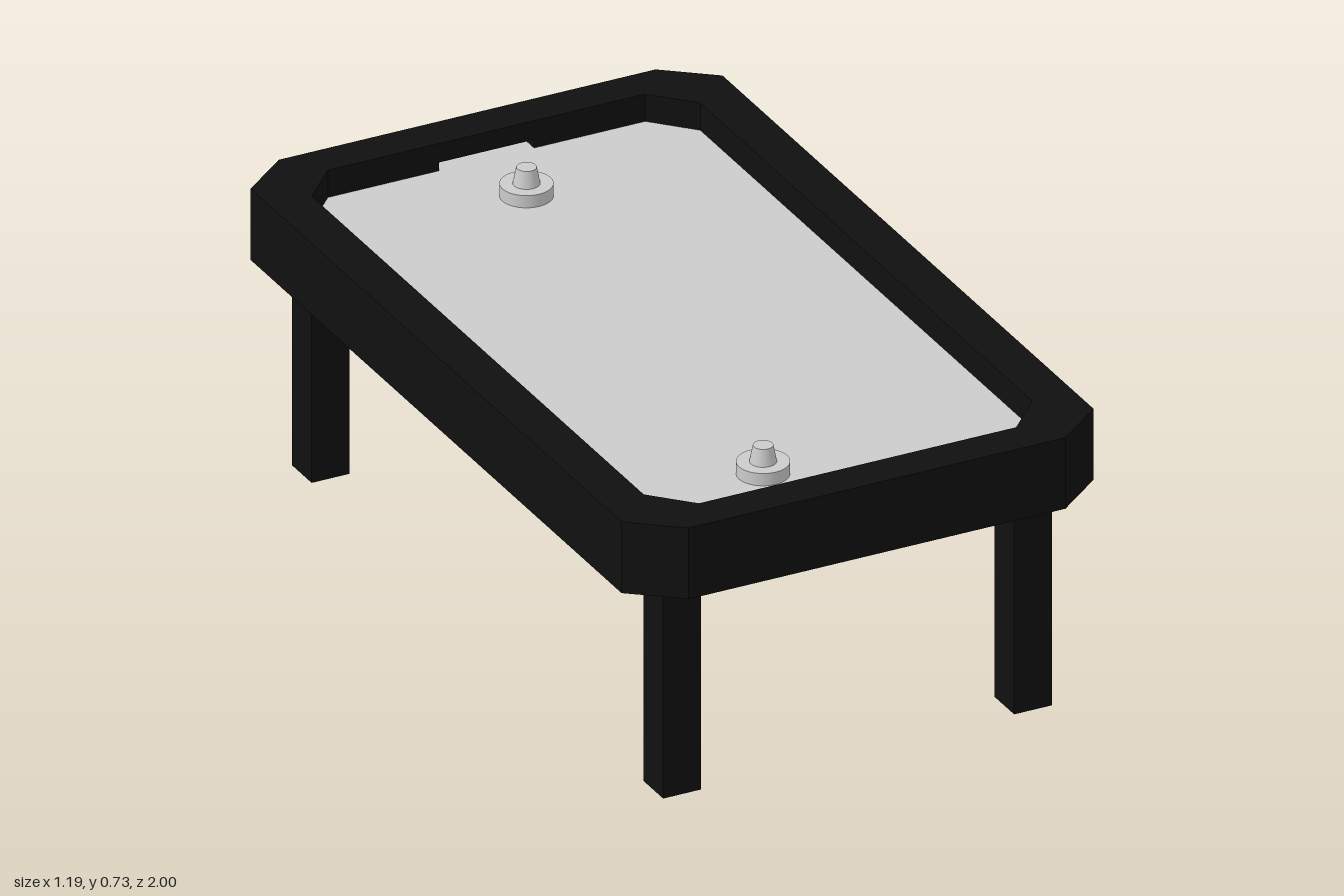
import * as THREE from 'three';

const BOTTOM = 0.545, FLOOR = 0.655, SLOT_TOP = 0.677, TOP = 0.725;

// Chamfered rectangle; optional goal notches in the two short ends
function outline(halfX, halfZ, flatX, flatZ, goalHalf = 0, goalDepth = 0) {
  const end = s => {
    const pts = [[flatX, s * halfZ]];
    if (goalHalf) {
      pts.push([goalHalf, s * halfZ], [goalHalf, s * (halfZ + goalDepth)],
        [-goalHalf, s * (halfZ + goalDepth)], [-goalHalf, s * halfZ]);
    }
    pts.push([-flatX, s * halfZ]);
    return pts;
  };
  const pts = [
    [halfX, -flatZ], [halfX, flatZ], ...end(1),
    [-halfX, flatZ], [-halfX, -flatZ], ...end(-1).reverse(),
  ];
  return pts.map(([x, y]) => new THREE.Vector2(x, y));
}

// Horizontal slab between two heights, with an optional opening
function slab(points, y0, y1, hole) {
  const shape = new THREE.Shape(points);
  if (hole) shape.holes.push(new THREE.Path(hole));
  const geo = new THREE.ExtrudeGeometry(shape, { depth: y1 - y0, bevelEnabled: false });
  return geo.rotateX(-Math.PI / 2).translate(0, y0, 0);
}

export function createModel() {
  const group = new THREE.Group();
  const black = new THREE.MeshStandardMaterial({ color: 0x101010 });
  const grey = new THREE.MeshStandardMaterial({ color: 0xcccccc });
  const add = (name, geo, mat) => {
    const mesh = new THREE.Mesh(geo, mat);
    mesh.name = name;
    group.add(mesh);
    return mesh;
  };

  const outer = outline(0.595, 1, 0.475, 0.905);
  const inner = outline(0.49, 0.905, 0.4, 0.81);
  const innerWithGoals = outline(0.49, 0.905, 0.4, 0.81, 0.12, 0.06);

  // Table body: solid base, rim layer with goal slots, closed rim layer above
  add('tableBase', slab(outer, BOTTOM, FLOOR), black);
  add('rimWithGoalSlots', slab(outer, FLOOR, SLOT_TOP, innerWithGoals), black);
  add('rimTop', slab(outer, SLOT_TOP, TOP, inner), black);

  // Playing surface, running on into the goal slots
  add('playingSurface', slab(innerWithGoals, FLOOR - 0.01, FLOOR + 0.001), grey);

  // Four square legs
  for (const sx of [-1, 1]) {
    for (const sz of [-1, 1]) {
      const leg = add('leg', new THREE.BoxGeometry(0.095, BOTTOM, 0.095), black);
      leg.position.set(sx * 0.4425, BOTTOM / 2, sz * 0.8575);
    }
  }

  // Two strikers: a flat disc with a tapered knob
  const disc = new THREE.CylinderGeometry(0.061, 0.061, 0.032, 32).translate(0, 0.016, 0);
  const knob = new THREE.CylinderGeometry(0.023, 0.031, 0.041, 32).translate(0, 0.0525, 0);
  for (const [x, z] of [[0, -0.71], [-0.145, 0.725]]) {
    const striker = new THREE.Group();
    striker.name = 'striker';
    for (const [name, geo] of [['strikerDisc', disc], ['strikerKnob', knob]]) {
      const mesh = new THREE.Mesh(geo, grey);
      mesh.name = name;
      striker.add(mesh);
    }
    striker.position.set(x, FLOOR, z);
    group.add(striker);
  }
  return group;
}
